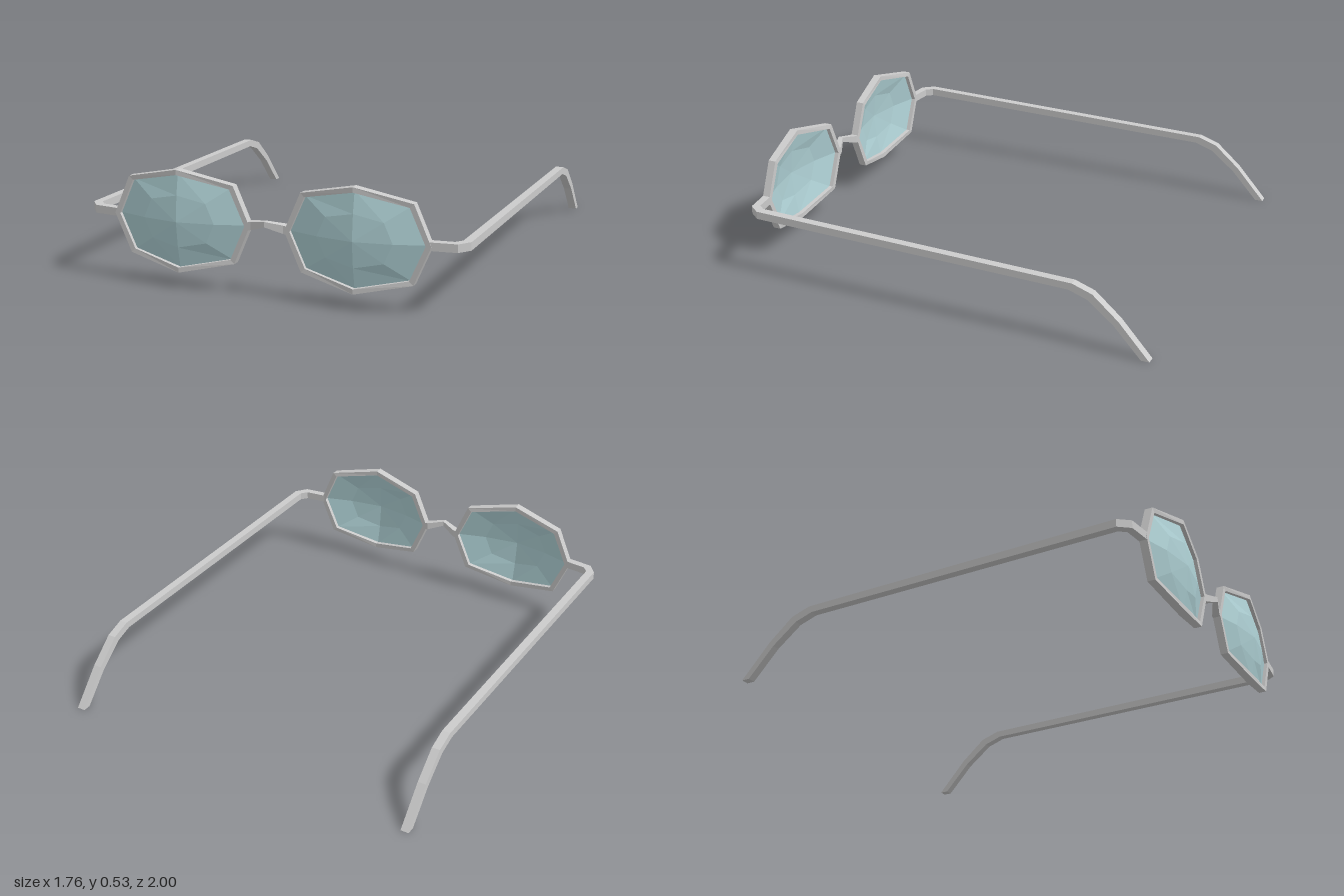
import * as THREE from 'three';

const V = (x, y, z) => new THREE.Vector3(x, y, z);
const frameMat = new THREE.MeshStandardMaterial({ color: 0xcccccc, flatShading: true });
const lensMat = new THREE.MeshStandardMaterial({ color: 0xaed0d4, flatShading: true, side: THREE.DoubleSide });

// Flat-shaded geometry from a list of triangle corners
function fromCorners(corners) {
  const geo = new THREE.BufferGeometry().setFromPoints(corners);
  geo.computeVertexNormals();
  return geo;
}

// Bar through four-sided sections: centre c, half-axes a and b
function bar(sections, closed = false) {
  const [s0, s1] = sections;
  const along = s1.c.clone().sub(s0.c);
  const flip = Math.sign(s0.a.clone().cross(s0.b).dot(along));
  const rings = sections.map(({ c, a, b }) =>
    [[1, 1], [-1, 1], [-1, -1], [1, -1]].map(([i, j]) =>
      c.clone().addScaledVector(a, i).addScaledVector(b, j * flip)));
  const out = [];
  const quad = (p, q, r, s) => out.push(p, q, r, p, r, s);
  const n = rings.length;
  for (let i = 0; i < (closed ? n : n - 1); i++) {
    const p = rings[i], q = rings[(i + 1) % n];
    for (let j = 0; j < 4; j++) {
      const k = (j + 1) % 4;
      quad(p[j], p[k], q[k], q[j]);
    }
  }
  if (!closed) {
    quad(...rings[0].slice().reverse());
    quad(...rings[n - 1]);
  }
  return fromCorners(out);
}

// Eight rim corners around the lens centre; top and bottom stand forward
const RIM = [];
for (let i = 0; i < 8; i++) {
  const q = i * Math.PI / 4, cx = Math.cos(q), sy = Math.sin(q);
  const diagonal = i % 2 === 1;
  const x = diagonal ? Math.sign(cx) * 0.25 : Math.round(cx) * 0.325;
  const y = diagonal ? Math.sign(sy) * 0.172 : Math.round(sy) * 0.228;
  RIM.push(V(x, y, i % 4 === 2 ? 0.97 : 0.934));
}

function rimGeometry() {
  return bar(RIM.map((p) => {
    const a = V(p.x * 0.037, p.y * 0.05, 0);
    return { c: p.clone().sub(a), a, b: V(0, 0, p.z > 0.95 ? 0.02 : 0.018) };
  }), true);
}

// Faceted lens bowing forward from the rim
function lensGeometry() {
  const peak = 1.0;
  const point = (i, t) => {
    const p = RIM[i % 8];
    return V(p.x * 0.94 * t, p.y * 0.92 * t, peak - (peak - p.z) * Math.pow(t, 1.6));
  };
  const out = [], mid = 0.55;
  for (let i = 0; i < 8; i++) {
    const a = point(i, mid), b = point(i + 1, mid), c = point(i, 1), d = point(i + 1, 1);
    out.push(V(0, 0, peak), a, b, a, c, d, a, d, b);
  }
  return fromCorners(out);
}

// Hinge, temple and ear hook in one bent bar
function armGeometry(s) {
  const up = V(0, 0.018, 0);
  const sections = [
    { c: V(s * 0.715, 0.3, 0.934), a: V(0, 0, 0.018), b: up },
    { c: V(s * 0.826, 0.3, 0.921), a: V(s * 0.011, 0, 0.016), b: up },
    { c: V(s * 0.859, 0.3, 0.879), a: V(s * 0.019, 0, 0.005), b: up },
  ];
  // centre z, centre y, half-thickness z, half-thickness y
  const hook = [
    [-0.642, 0.275, -0.008, 0.016],
    [-0.73, 0.245, -0.011, 0.015],
    [-0.848, 0.147, -0.011, 0.011],
    [-0.981, 0, -0.019, 0],
  ];
  for (const [z, y, dz, dy] of hook)
    sections.push({ c: V(s * 0.859, y, z), a: V(s * 0.019, 0, 0), b: V(0, dy, dz) });
  return bar(sections);
}

export function createModel() {
  const group = new THREE.Group();
  group.name = 'glasses';
  const add = (name, geo, mat = frameMat) => {
    const mesh = new THREE.Mesh(geo, mat);
    mesh.name = name;
    group.add(mesh);
    return mesh;
  };

  for (const [side, s] of [['left', 1], ['right', -1]]) {
    add(side + 'Rim', rimGeometry()).position.set(s * 0.405, 0.298, 0);
    add(side + 'Lens', lensGeometry(), lensMat).position.set(s * 0.405, 0.298, 0);
    add(side + 'Arm', armGeometry(s));
  }

  // Nose bridge, arched up and forward
  add('bridge', bar([[-0.092, 0.3, 0.934, 0.018], [-0.075, 0.303, 0.934, 0.018], [0, 0.323, 0.963, 0.012],
    [0.075, 0.303, 0.934, 0.018], [0.092, 0.3, 0.934, 0.018]]
    .map(([x, y, z, h]) => ({ c: V(x, y, z), a: V(0, h, 0), b: V(0, 0, h) }))));

  return group;
}
